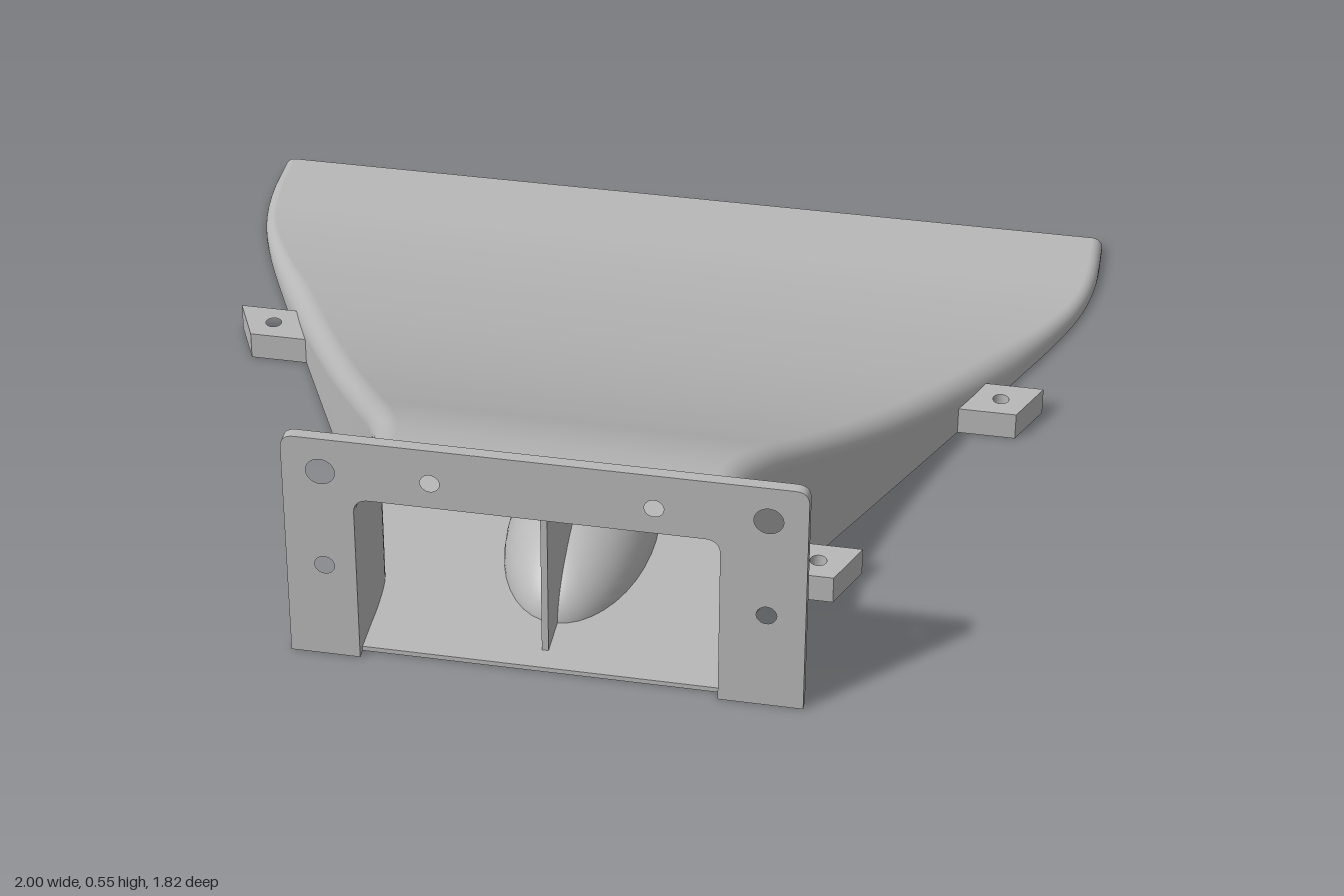
import * as THREE from 'three';

const WALL = 0.016;
const FLOOR_END = -0.37;

// Stations along the duct: half width, height, z
const STATIONS = [
  [0.39, 0.42, 0.888], [0.39, 0.42, 0.82], [0.39, 0.42, 0.74], [0.398, 0.405, 0.65],
  [0.432, 0.373, 0.55], [0.5, 0.305, 0.4], [0.597, 0.222, 0.2], [0.694, 0.155, 0],
  [0.79, 0.103, -0.2], [0.885, 0.064, -0.4], [0.93, 0.05, -0.5], [0.968, 0.04, -0.6],
  [0.988, 0.036, -0.68], [1, 0.036, -0.78], [1, 0.036, -0.91],
];

// Round-shouldered arch, open at the bottom, running from -x to +x
function arch({ x: w, y: h, z }, inset) {
  const r = Math.max(Math.min(0.055, h * 0.7) - inset, 0.004);
  const hw = w - inset, top = h - inset, pts = [new THREE.Vector3(-hw, 0, z)];
  for (const side of [-1, 1]) {
    for (let k = 0; k <= 8; k++) {
      const a = (side < 0 ? Math.PI - (k / 8) * Math.PI / 2 : Math.PI / 2 - (k / 8) * Math.PI / 2);
      pts.push(new THREE.Vector3(side * (hw - r) + Math.cos(a) * r, top - r + Math.sin(a) * r, z));
    }
  }
  pts.push(new THREE.Vector3(hw, 0, z));
  return pts;
}

// Smooth surface through rows of points
function surface(rows, flip = false) {
  const n = rows[0].length, index = [];
  for (let i = 0; i < rows.length - 1; i++) {
    for (let j = 0; j < n - 1; j++) {
      const a = i * n + j, b = a + 1, c = a + n, d = c + 1;
      index.push(...(flip ? [a, c, b, b, c, d] : [a, b, c, b, d, c]));
    }
  }
  const g = new THREE.BufferGeometry().setFromPoints(rows.flat());
  g.setIndex(index);
  g.computeVertexNormals();
  return g;
}

function hole(x, y, r) {
  const p = new THREE.Path();
  p.absarc(x, y, r, 0, Math.PI * 2, true);
  return p;
}

// Flat plate drawn in x and z, standing on y = 0
function plate(shape, depth) {
  return new THREE.ExtrudeGeometry(shape, { depth, bevelEnabled: false, curveSegments: 12 })
    .rotateX(Math.PI / 2).translate(0, depth, 0);
}

const outline = (pts) => new THREE.Shape(pts.map(([x, y]) => new THREE.Vector2(x, y)));

export function createModel() {
  const model = new THREE.Group();
  const grey = new THREE.MeshStandardMaterial({ color: 0xb8b8b8 });
  grey.name = 'lightGrey';
  const add = (name, geometry, parent = model) => {
    const mesh = new THREE.Mesh(geometry, grey);
    mesh.name = name;
    parent.add(mesh);
    return mesh;
  };

  // Flaring duct shell
  const path = new THREE.CatmullRomCurve3(STATIONS.map((s) => new THREE.Vector3(...s)));
  const stations = path.getPoints(84);
  const outer = stations.map((s) => arch(s, 0));
  const inner = stations.map((s) => arch(s, WALL));
  const duct = new THREE.Group();
  duct.name = 'duct';
  model.add(duct);
  const last = outer.length - 1, end = outer[0].length - 1;
  const column = (rows, j) => rows.map((row) => row[j]);
  add('ductOutside', surface(outer), duct);
  add('ductInside', surface(inner, true), duct);
  add('frontRim', surface([inner[0], outer[0]]), duct);
  add('outletRim', surface([outer[last], inner[last]]), duct);
  add('rightLowerEdge', surface([column(outer, 0), column(inner, 0)]), duct);
  add('leftLowerEdge', surface([column(inner, end), column(outer, end)]), duct);

  // Floor stops short of the back, leaving a slot under the roof
  const edge = stations.filter((s) => s.z > FLOOR_END).map((s) => [s.x - WALL + 0.002, s.z]);
  edge.push([0.87 - WALL + 0.002, FLOOR_END]);
  const mirrored = edge.map(([x, z]) => [-x, z]).reverse();
  add('floor', plate(outline([...edge, ...mirrored]), 0.011));

  // Mounting flange with an arch opening and bolt holes
  const f = new THREE.Shape();
  f.moveTo(-0.52, 0);
  f.lineTo(-0.52, 0.515);
  f.quadraticCurveTo(-0.52, 0.545, -0.49, 0.545);
  f.lineTo(0.52, 0.545);
  f.quadraticCurveTo(0.55, 0.545, 0.55, 0.515);
  f.lineTo(0.55, 0);
  f.lineTo(0.374, 0);
  f.lineTo(0.374, 0.37);
  f.quadraticCurveTo(0.374, 0.404, 0.34, 0.404);
  f.lineTo(-0.34, 0.404);
  f.quadraticCurveTo(-0.374, 0.404, -0.374, 0.37);
  f.lineTo(-0.374, 0);
  f.closePath();
  for (const x of [-0.44, 0.47]) f.holes.push(hole(x, 0.465, 0.03), hole(x, 0.23, 0.021));
  for (const x of [-0.215, 0.24]) f.holes.push(hole(x, 0.465, 0.02));
  add('mountingFlange', new THREE.ExtrudeGeometry(f, { depth: 0.025, bevelEnabled: false, curveSegments: 12 })
    .translate(0, 0, 0.885));

  // Central divider under the roof
  const under = stations.filter((s) => s.z < 0.84 && s.z > 0).map((s) => [-s.z, s.y - WALL + 0.004]);
  const wall = outline([[under[0][0], 0.005], ...under, [under[under.length - 1][0], 0.005]]);
  add('divider', new THREE.ExtrudeGeometry(wall, { depth: 0.014, bevelEnabled: false })
    .translate(0, 0, -0.007).rotateY(Math.PI / 2));

  // Half-dome flow splitter on the floor
  const dome = add('flowSplitter', new THREE.SphereGeometry(0.16, 40, 16, 0, Math.PI * 2, 0, Math.PI / 2));
  dome.scale.z = 2;
  dome.position.set(0, 0.005, 0.42);

  // Screw tabs along both sides
  const tabs = [
    { name: 'rearTab', pts: [[0.79, -0.22], [0.925, -0.22], [0.875, -0.11], [0.737, -0.11]], at: [0.835, -0.165] },
    { name: 'frontTab', pts: [[0.472, 0.44], [0.607, 0.44], [0.56, 0.55], [0.424, 0.55]], at: [0.52, 0.495] },
  ];
  for (const [side, s] of [['left', 1], ['right', -1]]) {
    for (const t of tabs) {
      const shape = outline(t.pts.map(([x, z]) => [x * s, z]));
      shape.holes.push(hole(t.at[0] * s, t.at[1], 0.018));
      add(side + t.name[0].toUpperCase() + t.name.slice(1), plate(shape, 0.064));
    }
  }
  return model;
}
